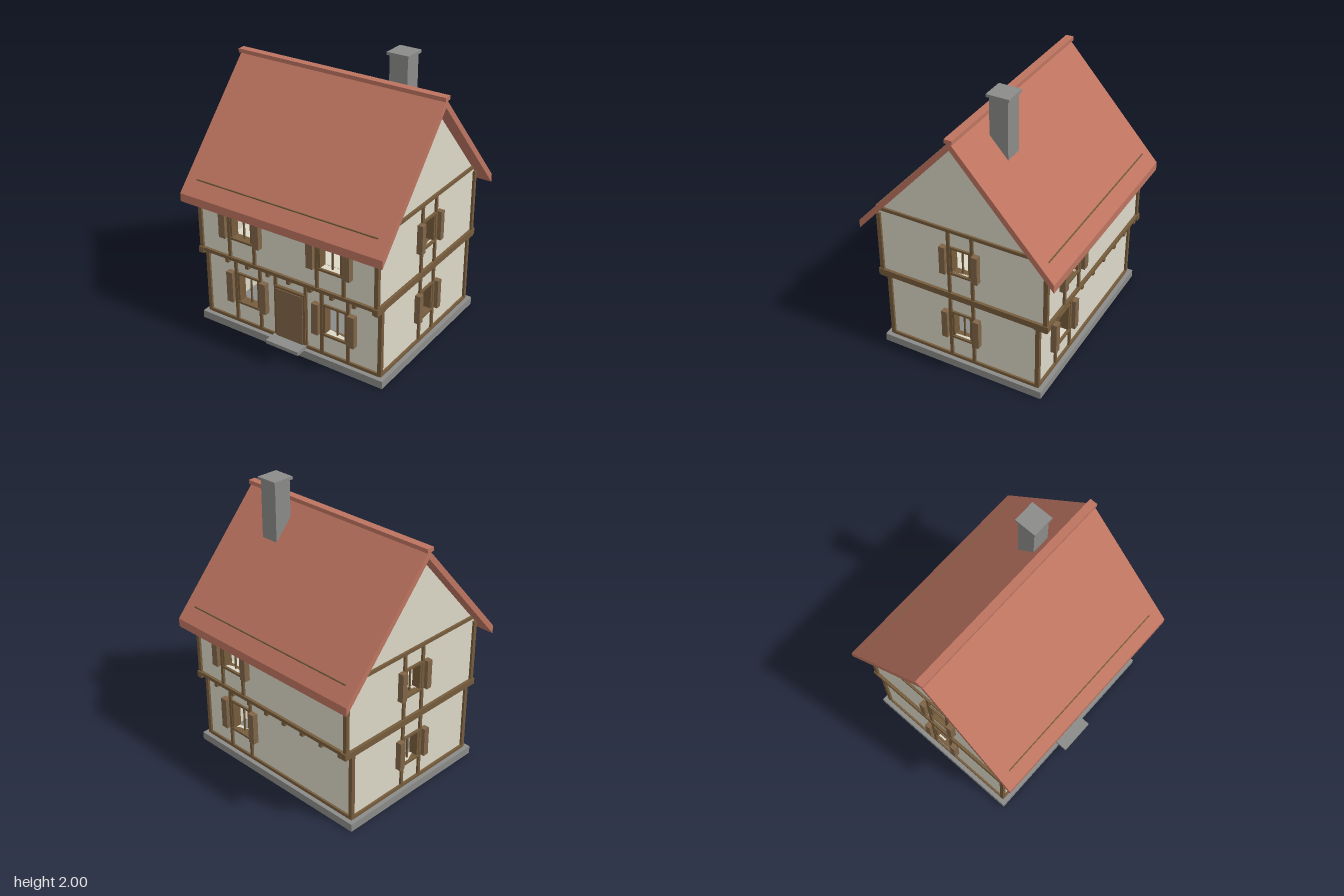
import * as THREE from 'three';

const mat = (name, color) => {
  const m = new THREE.MeshStandardMaterial({ color });
  m.name = name;
  return m;
};

export function createModel() {
  const house = new THREE.Group();
  house.name = 'timberFramedHouse';
  const plaster = mat('plaster', 0xdcd8c8);
  const timber = mat('timber', 0x765c3c);
  const board = mat('boardWood', 0x7f6547);
  const stone = mat('stone', 0x8b8b89);
  const tile = mat('roofTile', 0xbd7460);

  // Box given by its minimum and maximum on each axis
  function box(parent, name, m, x0, x1, y0, y1, z0, z1) {
    const mesh = new THREE.Mesh(new THREE.BoxGeometry(x1 - x0, y1 - y0, z1 - z0), m);
    mesh.position.set((x0 + x1) / 2, (y0 + y1) / 2, (z0 + z1) / 2);
    mesh.name = name;
    parent.add(mesh);
    return mesh;
  }

  function extrude(parent, name, m, points, holes, depth) {
    const shape = new THREE.Shape(points.map(p => new THREE.Vector2(...p)));
    for (const [x0, x1, y0, y1] of holes) {
      shape.holes.push(new THREE.Path([[x0, y0], [x0, y1], [x1, y1], [x1, y0]].map(p => new THREE.Vector2(...p))));
    }
    const mesh = new THREE.Mesh(new THREE.ExtrudeGeometry(shape, { depth, bevelEnabled: false }), m);
    mesh.name = name;
    parent.add(mesh);
    return mesh;
  }

  const WALL = 0.05;   // wall thickness
  const OUT = 0.015;   // how far timbers stand proud
  const POST = 0.011;  // half width of a post

  // One storey of one side: local x runs along the wall, z points outwards
  function facade(name, angle, distance, outline, y0, y1, windows) {
    const side = new THREE.Group();
    side.name = name;
    side.rotation.y = angle;
    side.position.set(Math.sin(angle) * distance, 0, Math.cos(angle) * distance);
    house.add(side);
    extrude(side, 'wall', plaster, outline,
      windows.map(w => [w.x - w.hw, w.x + w.hw, w.y0, w.y1]), WALL).position.z = -WALL;
    for (const w of windows) addWindow(side, w, y0, y1);
    return side;
  }

  function addWindow(side, w, y0, y1) {
    const px = w.hw + 0.007 + POST;
    for (const s of [-1, 1]) {
      const c = w.x + s * px;
      box(side, 'windowPost', timber, c - POST, c + POST, y0, y1, -0.01, OUT);
      // Jamb fills the gap between post and opening
      const j = w.x + s * (w.hw - 0.001);
      box(side, 'windowJamb', timber, j - 0.008, j + 0.008, w.y0, w.y1, -WALL - 0.003, OUT - 0.004);
      // Open shutter beside the post
      const sh = w.x + s * (px + POST + w.shutter / 2);
      box(side, 'shutter', board, sh - w.shutter / 2, sh + w.shutter / 2, w.y0 - 0.01, w.y1 + 0.012, 0, 0.042);
    }
    const r = px - POST;
    box(side, 'windowSill', timber, w.x - r, w.x + r, w.y0 - 0.015, w.y0, -WALL - 0.003, OUT + 0.003);
    box(side, 'windowHead', timber, w.x - r, w.x + r, w.y1, w.y1 + 0.015, -WALL - 0.003, OUT);
    box(side, 'mullion', timber, w.x - 0.005, w.x + 0.005, w.y0, w.y1, -0.03, -0.018);
  }

  const rect = (hw, y0, y1) => [[-hw, y0], [hw, y0], [hw, y1], [-hw, y1]];
  const longWin = (x, y0, y1) => ({ x, y0, y1, hw: 0.085, shutter: 0.052 });
  const gableWin = (y0, y1) => ({ x: 0, y0, y1, hw: 0.069, shutter: 0.043 });

  const X = 0.70, Z1 = 0.562, Z2 = 0.615;  // outer wall faces

  // Stone base and doorstep
  box(house, 'foundation', stone, -0.745, 0.745, 0, 0.057, -0.608, 0.608);
  box(house, 'doorstep', stone, -0.135, 0.13, 0.055, 0.082, 0.55, 0.68);

  // Front and back
  for (const [label, angle, xs] of [['front', 0, [-0.355, 0.355]], ['back', Math.PI, [-0.355]]]) {
    const low = facade(label + 'LowerStorey', angle, Z1, rect(X - 0.005, 0.05, 0.58), 0.06, 0.58,
      xs.map(x => longWin(x, 0.228, 0.44)));
    const up = facade(label + 'UpperStorey', angle, Z2, rect(X - 0.005, 0.565, 1.065), 0.58, 1.06,
      xs.map(x => longWin(x, 0.757, 0.97)));
    box(low, 'bottomRail', timber, -X, X, 0.057, 0.08, -0.01, OUT);
    box(low, 'lowerTopRail', timber, -X, X, 0.558, 0.58, -0.01, OUT - 0.003);
    box(up, 'jettyBeam', timber, -0.72, 0.72, 0.58, 0.605, -0.02, OUT + 0.006);
    box(up, 'topPlate', timber, -0.71, 0.71, 1.088, 1.114, -0.02, OUT + 0.003);
    // Joist ends carrying the overhang
    for (let i = 0; i < 9; i++) {
      const x = (-0.655 + i * 0.17) * Math.cos(angle);
      box(up, 'joistEnd', timber, x - 0.013, x + 0.013, 0.55, 0.581, -0.08, OUT + 0.002);
    }
    if (label === 'front') {
      for (const s of [-1, 1]) {
        box(low, 'doorPost', timber, s * 0.122 - POST, s * 0.122 + POST, 0.06, 0.58, -0.01, OUT);
      }
      box(low, 'doorFrame', timber, -0.125, 0.125, 0.06, 0.472, -0.01, OUT + 0.008);
      box(low, 'door', board, -0.108, 0.108, 0.08, 0.455, 0, OUT + 0.014);
    }
  }

  // Gable ends
  for (const s of [-1, 1]) {
    const label = s > 0 ? 'left' : 'right';
    const low = facade(label + 'LowerStorey', s * Math.PI / 2, X, rect(Z1, 0.05, 0.58), 0.06, 0.58,
      [gableWin(0.243, 0.435)]);
    const up = facade(label + 'UpperStorey', s * Math.PI / 2, X,
      [[-Z2, 0.565], [Z2, 0.565], [Z2, 1.07], [0, 1.765], [-Z2, 1.07]], 0.58, 1.1,
      [gableWin(0.775, 0.963)]);
    box(low, 'bottomRail', timber, -Z1, Z1, 0.057, 0.08, -0.01, OUT);
    box(up, 'storeyBeam', timber, -0.64, 0.64, 0.56, 0.605, -0.02, OUT + 0.006);
    box(up, 'gableRail', timber, -0.615, 0.615, 1.088, 1.112, -0.01, OUT);
    // Corner posts
    for (const t of [-1, 1]) {
      const a = t * (Z1 + 0.001), b = t * (Z2 + 0.001);
      box(low, 'cornerPost', timber, a - 0.0145, a + 0.0145, 0.06, 0.57, -0.012, OUT + 0.001);
      box(up, 'cornerPost', timber, b - 0.0145, b + 0.0145, 0.58, 1.06, -0.012, OUT + 0.001);
    }
  }

  // Floor slab, seen from below at the overhangs
  box(house, 'upperFloor', plaster, -0.69, 0.69, 0.568, 0.595, -0.61, 0.61);

  // Roof with plumb-cut eaves, extruded along x
  const roof = extrude(house, 'roof', tile,
    [[-0.71, 0.96], [0, 1.755], [0.71, 0.96], [0.71, 1.02], [0, 1.812], [-0.71, 1.02]], [], 1.584);
  roof.rotation.y = Math.PI / 2;
  roof.position.x = -0.792;
  box(house, 'ridgeCap', tile, -0.8, 0.8, 1.803, 1.831, -0.028, 0.028);

  // Chimney
  box(house, 'chimneyShaft', stone, 0.328, 0.462, 1.45, 1.982, -0.215, -0.085);
  box(house, 'chimneyCap', stone, 0.315, 0.475, 1.98, 2, -0.23, -0.07);

  return house;
}
